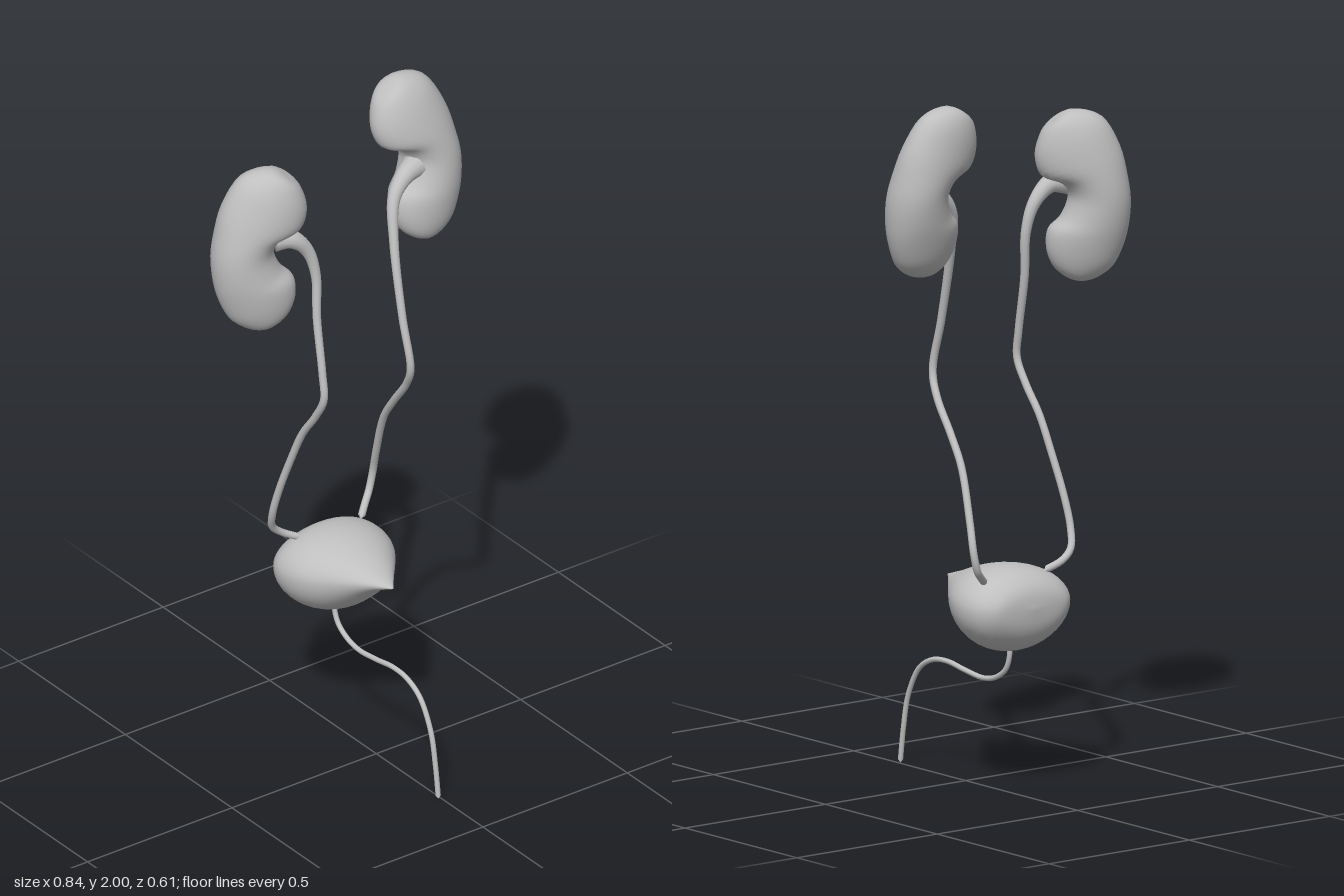
import * as THREE from 'three';
import { mergeVertices } from 'three/addons/utils/BufferGeometryUtils.js';

const V = (x, y, z) => new THREE.Vector3(x, y, z);

// Smoothly resample rows of section numbers, column by column
function resample(rows, count) {
  const curves = rows[0].map((_, c) => new THREE.SplineCurve(rows.map((r, i) => new THREE.Vector2(i, r[c]))));
  return Array.from({ length: count + 1 }, (_, k) => curves.map((cv) => cv.getPoint(k / count).y));
}

// Skin closed rings; ring(k, angle) returns a point
function loft(count, sides, ring, flip = false) {
  const pos = [], index = [];
  for (let k = 0; k <= count; k++) {
    for (let j = 0; j < sides; j++) {
      const p = ring(k, (j / sides) * Math.PI * 2);
      pos.push(p.x, p.y, p.z);
    }
  }
  for (let k = 0; k < count; k++) {
    for (let j = 0; j < sides; j++) {
      const a = k * sides + j, b = k * sides + ((j + 1) % sides);
      const c = a + sides, d = b + sides;
      if (flip) index.push(a, c, b, b, c, d);
      else index.push(a, b, c, b, d, c);
    }
  }
  let g = new THREE.BufferGeometry();
  g.setAttribute('position', new THREE.Float32BufferAttribute(pos, 3));
  g.setIndex(index);
  g = mergeVertices(g, 1e-5);
  g.computeVertexNormals();
  return g;
}

// Bean sections: inner edge x, y, outer edge x, y, half thickness
const BEAN = [
  [0.195, 1.965, 0.195, 1.965, 0],
  [0.165, 1.935, 0.25, 1.997, 0.042],
  [0.147, 1.87, 0.335, 1.975, 0.068],
  [0.165, 1.81, 0.388, 1.89, 0.082],
  [0.222, 1.785, 0.411, 1.8, 0.085],
  [0.243, 1.745, 0.42, 1.73, 0.085],
  [0.222, 1.69, 0.415, 1.66, 0.083],
  [0.187, 1.655, 0.4, 1.6, 0.078],
  [0.182, 1.6, 0.373, 1.545, 0.066],
  [0.2, 1.55, 0.335, 1.515, 0.05],
  [0.235, 1.517, 0.3, 1.503, 0.03],
  [0.268, 1.502, 0.268, 1.502, 0],
];

// Kidney, with the sections centred, leaned, turned and placed
function kidneyGeometry(side, centre, lean, yaw) {
  const rows = resample(BEAN, 44);
  const g = loft(44, 32, (k, a) => {
    const [mx, my, lx, ly, t] = rows[k];
    const s = (Math.cos(a) + 1) / 2;
    const y = my + (ly - my) * s - 1.75;
    return V(side * (mx + (lx - mx) * s - 0.283), y, t * Math.sin(a) + lean * y);
  }, side < 0);
  return g.rotateY(yaw).translate(...centre);
}

// Tube whose radius follows a rule, closed at both ends
function taperedTube(points, segments, radius) {
  const path = new THREE.CatmullRomCurve3(points.map((p) => V(...p)), false, 'centripetal');
  const sides = 12;
  const g = new THREE.TubeGeometry(path, segments, 1, sides, false);
  const pos = g.attributes.position, p = V();
  for (let i = 0; i <= segments; i++) {
    const c = path.getPointAt(i / segments);
    const r = i === 0 || i === segments ? 0.0001 : radius(i / segments);
    for (let j = 0; j <= sides; j++) {
      const n = i * (sides + 1) + j;
      p.fromBufferAttribute(pos, n).sub(c).multiplyScalar(r).add(c);
      pos.setXYZ(n, p.x, p.y, p.z);
    }
  }
  return g;
}

export function createModel() {
  const group = new THREE.Group();
  const grey = new THREE.MeshStandardMaterial({ color: 0xbfbfbf });
  grey.name = 'lightGrey';
  const add = (name, geometry) => {
    const mesh = new THREE.Mesh(geometry, grey);
    mesh.name = name;
    group.add(mesh);
  };

  // Kidneys: the right one sits lower and turns toward the front
  add('leftKidney', kidneyGeometry(1, [0.283, 1.75, -0.198], -0.16, 0.06));
  add('rightKidney', kidneyGeometry(-1, [-0.288, 1.66, -0.16], -0.05, -0.47));

  // Ureters, flaring into the funnel at the kidney
  const ureterRadius = (t) => 0.0105 + 0.028 * Math.exp(-t * 18) + 0.006 * Math.exp(-t * 5);
  add('leftUreter', taperedTube([
    [0.275, 1.735, -0.175], [0.22, 1.715, -0.165], [0.172, 1.665, -0.15], [0.146, 1.55, -0.115],
    [0.131, 1.34, -0.055], [0.135, 1.19, -0.022], [0.145, 1.12, -0.055], [0.153, 1.03, -0.125],
    [0.162, 0.945, -0.185], [0.18, 0.8, -0.245], [0.187, 0.72, -0.27], [0.172, 0.665, -0.268],
    [0.145, 0.64, -0.25], [0.11, 0.617, -0.222],
  ], 110, ureterRadius));
  add('rightUreter', taperedTube([
    [-0.265, 1.7, -0.13], [-0.215, 1.69, -0.105], [-0.168, 1.64, -0.095], [-0.147, 1.56, -0.085],
    [-0.154, 1.43, -0.07], [-0.161, 1.27, -0.035], [-0.163, 1.19, -0.025], [-0.166, 1.12, -0.06],
    [-0.171, 1.04, -0.115], [-0.179, 0.94, -0.158], [-0.191, 0.82, -0.2], [-0.194, 0.735, -0.225],
    [-0.178, 0.68, -0.246], [-0.145, 0.65, -0.248], [-0.095, 0.625, -0.23],
  ], 110, ureterRadius));

  // Bladder sections from the front tip back: z, half width, top, bottom, widest height
  const bladder = resample([
    [0.087, 0, 0.575, 0.575, 0.575],
    [0.04, 0.036, 0.59, 0.552, 0.572],
    [0, 0.068, 0.603, 0.522, 0.567],
    [-0.05, 0.108, 0.622, 0.475, 0.558],
    [-0.1, 0.144, 0.637, 0.434, 0.55],
    [-0.15, 0.167, 0.646, 0.411, 0.545],
    [-0.2, 0.175, 0.647, 0.405, 0.541],
    [-0.245, 0.168, 0.637, 0.417, 0.54],
    [-0.28, 0.142, 0.613, 0.447, 0.54],
    [-0.299, 0.1, 0.582, 0.487, 0.54],
    [-0.306, 0, 0.54, 0.54, 0.54],
  ], 50);
  add('bladder', loft(50, 40, (k, a) => {
    const [z, w, top, bottom, mid] = bladder[k];
    const s = Math.sin(a);
    return V(-0.005 + w * Math.cos(a), mid - s * (s > 0 ? mid - bottom : top - mid), z);
  }));

  // Urethra
  add('urethra', taperedTube([
    [-0.007, 0.43, -0.188], [-0.007, 0.385, -0.187], [-0.007, 0.345, -0.17], [-0.007, 0.315, -0.125],
    [-0.007, 0.304, -0.07], [-0.007, 0.312, 0.01], [-0.007, 0.324, 0.09], [-0.007, 0.318, 0.155],
    [-0.007, 0.285, 0.215], [-0.007, 0.2, 0.265], [-0.007, 0.1, 0.287], [-0.007, 0, 0.301],
  ], 80, () => 0.0075));

  return group;
}
